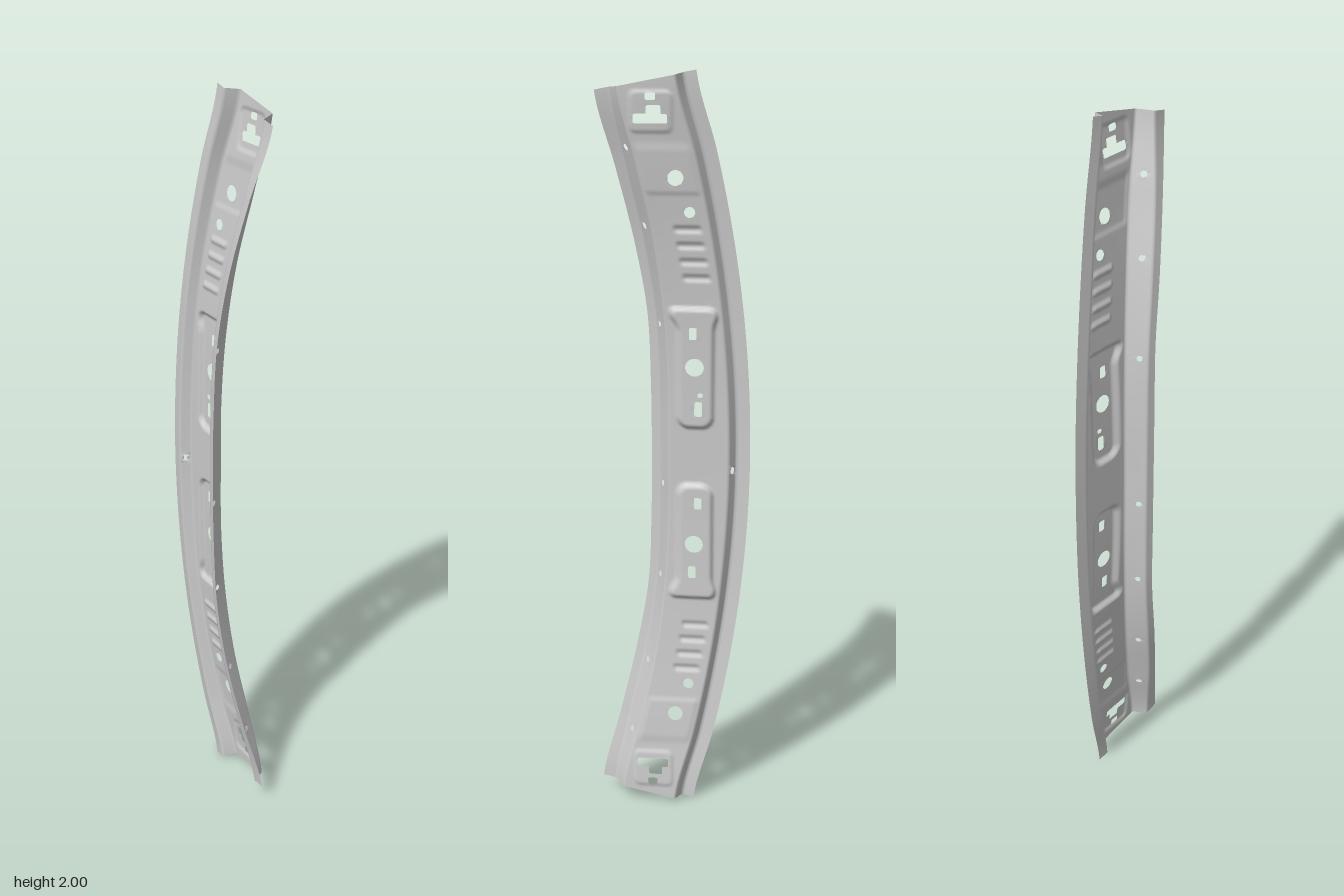
import * as THREE from 'three';

// Lengthwise guide lines from the middle (first pair) to an end (last pair), each pair being x, z
const GUIDES = [
  [[-.2, -.028], [-.194, -.029], [-.176, -.031], [-.146, -.035], [-.104, -.041], [-.05, -.047]],  // outer flange edge
  [[-.165, -.013], [-.159, -.014], [-.141, -.016], [-.111, -.021], [-.07, -.029], [-.018, -.037]], // outer flange corner
  [[-.142, -.036], [-.136, -.036], [-.119, -.037], [-.09, -.045], [-.048, -.058], [.005, -.071]],  // foot of the step
  [[.015, .003], [.016, .002], [.028, -.003], [.055, -.013], [.099, -.028], [.147, -.037]],        // web to side wall
  [[.033, .06], [.035, .059], [.045, .056], [.076, .049], [.122, .032], [.163, .008]],             // foot of the side wall
  [[.055, .07], [.057, .069], [.066, .065], [.1, .058], [.148, .04], [.2, .016]],                  // inner flange edge
];
const SEGMENTS = [5, 5, 30, 11, 5];
const ROWS = 400;

const curves = GUIDES.map((g) => new THREE.SplineCurve(
  [...g.slice(1).reverse(), ...g].map(([x, z]) => new THREE.Vector2(x, z))));

const step = THREE.MathUtils.smoothstep;

// Signed distance to a rounded box; a circle is a box with no straight sides
function roundBox(px, py, b) {
  const qx = Math.abs(px - b.x) - b.w + b.r, qy = Math.abs(py - b.y) - b.h + b.r;
  return Math.hypot(Math.max(qx, 0), Math.max(qy, 0)) + Math.min(Math.max(qx, qy), 0) - b.r;
}
const box = (x, y, w, h, r = .004) => ({ x, y, w, h, r });
const disc = (x, y, r) => box(x, y, r, r, r);

// Holes in the web, and small round ones in the side wall (placed by z, y)
const webHoles = [
  box(-.065, 1.17, .007, .006), box(-.06, 1.132, .01, .02), box(-.153, .96, .005, .01),
  box(-.06, .87, .01, .016), box(-.045, .675, .01, .017), box(-.045, 1.335, .01, .016),
];
for (const m of [1, -1]) {
  webHoles.push(
    disc(.002, 1 + m * .737, .02), disc(-.035, 1 + m * .65, .014), disc(-.05, 1 + m * .245, .024),
    box(.066, 1 + m * .937, .013, .009), box(.066, 1 + m * .883, .042, .012), box(.058, 1 + m * .902, .018, .014));
}
const wallHoles = [[.0, 1.81], [.02, 1.61], [.035, 1.35], [.04, .91], [.035, .65], [.02, .4], [0, .2]]
  .map(([z, y]) => disc(z, y, .008));

// Pressed relief on the web: negative is pushed backwards
function relief(x, y, across) {
  const s = Math.abs(y - 1);
  const inset = step(across, .02, .12) * (1 - step(across, .9, .98));
  const soft = (b, band) => 1 - step(roundBox(x, 1 + s, b), -band / 2, band / 2);
  // Long pocket that flares out at its far end
  const flare = step(s, .34, .42) * .03;
  let z = -.012 * soft(box(-.053 + flare * .3, 1.24, .045 + flare, .16, .03), .014);
  // Shallow pad around the end slots, and a cross crease
  z -= .004 * soft(box(.064, 1.9, .052, .05, .015), .01);
  z -= .003 * step(s, .69, .705) * (1 - step(s, .8, .83));
  // Short stiffening ribs
  for (let i = 0; i < 4; i++) z += .005 * soft(box(-.055 + i * .008, 1.48 + i * .042, .034, .007, .006), .009);
  return z * inset;
}

// Pull vertices next to a hole onto its outline
function snap(p, holes, axis) {
  for (const b of holes) {
    const d = roundBox(p[axis], p[1], b);
    if (Math.abs(d) > .0032) continue;
    const e = .0004;
    const gx = roundBox(p[axis] + e, p[1], b) - roundBox(p[axis] - e, p[1], b);
    const gy = roundBox(p[axis], p[1] + e, b) - roundBox(p[axis], p[1] - e, b);
    const l = Math.hypot(gx, gy) || 1;
    p[axis] -= d * gx / l;
    p[1] -= d * gy / l;
  }
}

function sheetGeometry() {
  const columns = [];
  SEGMENTS.forEach((n, k) => { for (let i = 0; i < n; i++) columns.push([k, i / n]); });
  columns.push([SEGMENTS.length - 1, 1]);

  // One cross-section per row, leaning with the arc
  const points = [];
  for (let j = 0; j <= ROWS; j++) {
    const t = 2 * j / ROWS - 1;
    const g = curves.map((c) => c.getPoint((t + 1) / 2));
    for (const [k, f] of columns) {
      const q = g[k].clone().lerp(g[k + 1], f);
      const y = 1 + t * (1 - .05 * (q.x - g[0].x) / (g[5].x - g[0].x));
      const p = [q.x, y, q.y + (k === 2 ? relief(q.x, y, f) : 0)];
      if (k === 3 && f > 0) snap(p, wallHoles, 2);
      else if (k < 3) snap(p, webHoles, 0);
      points.push(p);
    }
  }

  // Faces, leaving out those inside a hole
  const index = [];
  const n = columns.length;
  const face = (k, ...ids) => {
    const c = [0, 1, 2].map((a) => ids.reduce((sum, i) => sum + points[i][a], 0) / 3);
    const holes = k < 3 ? webHoles : k === 3 ? wallHoles : [];
    const axis = k < 3 ? 0 : 2;
    if (!holes.some((b) => roundBox(c[axis], c[1], b) < 0)) index.push(...ids);
  };
  for (let j = 0; j < ROWS; j++) {
    for (let i = 0; i < n - 1; i++) {
      const a = j * n + i, k = columns[i][0];
      face(k, a, a + 1, a + n + 1);
      face(k, a, a + n + 1, a + n);
    }
  }
  const geometry = new THREE.BufferGeometry();
  geometry.setAttribute('position', new THREE.Float32BufferAttribute(points.flat(), 3));
  geometry.setIndex(index);
  geometry.computeVertexNormals();
  return geometry;
}

export function createModel() {
  const model = new THREE.Group();
  model.name = 'curvedCrossMember';
  const material = new THREE.MeshStandardMaterial({ color: 0xcccccc, side: THREE.DoubleSide });
  const panel = new THREE.Mesh(sheetGeometry(), material);
  panel.name = 'pressedSheetPanel';
  model.add(panel);
  return model;
}
